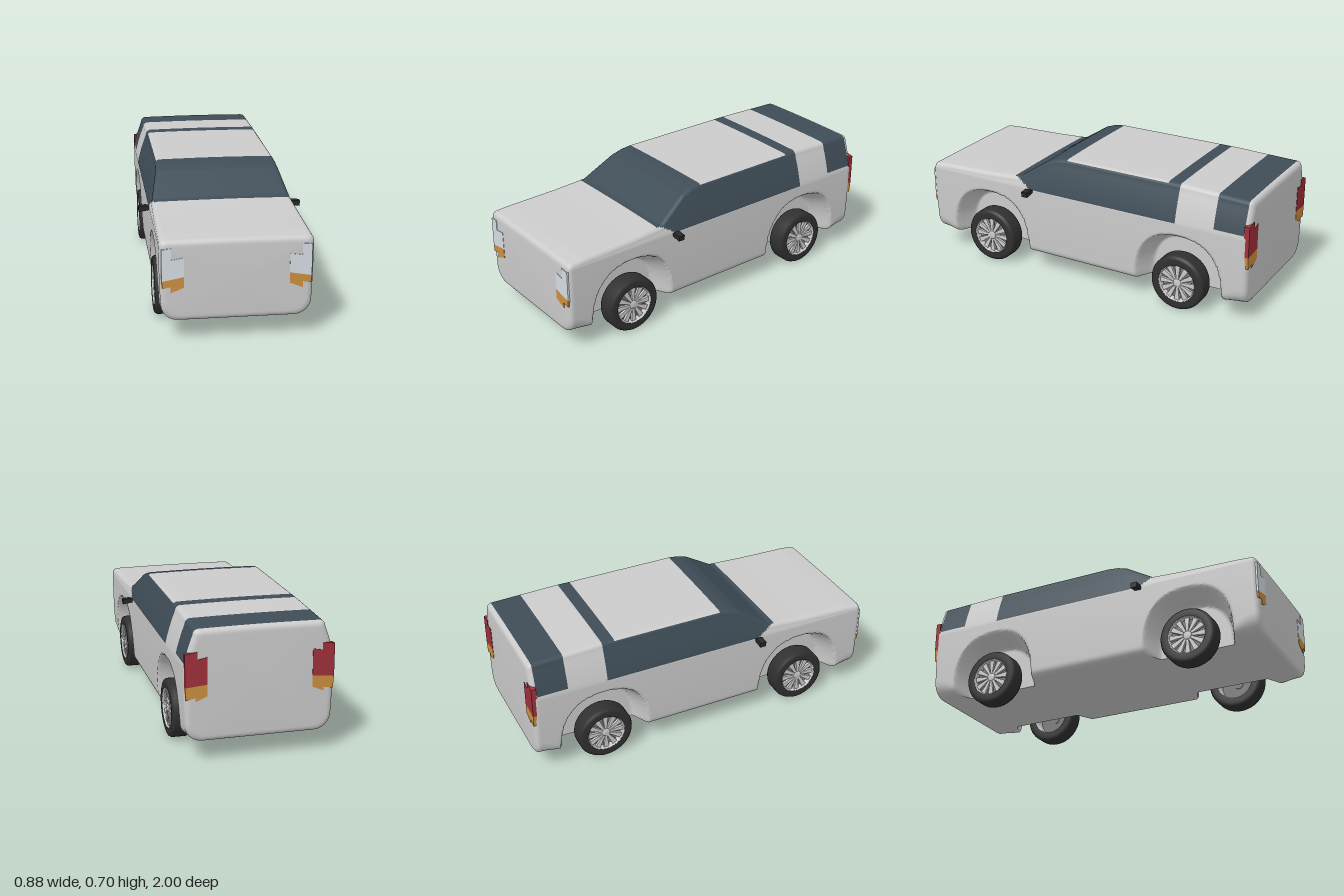
import * as THREE from 'three';

const paint = (color) => new THREE.MeshStandardMaterial({ color });
const GREY = paint(0xcccccc), GLASS = paint(0x3f4d57), RUBBER = paint(0x303030), BLACK = paint(0x26282a);
const LENS = paint(0xd6dde3), AMBER = paint(0xcc9040), RED = paint(0xa0303a), SPOKE = paint(0xe2e2e2);
const { clamp, lerp, smoothstep } = THREE.MathUtils;

// Height of the hood, windscreen and roof along z
const TOPLINE = [[-0.97, 0.688], [-0.6, 0.7], [0.11, 0.7], [0.17, 0.692], [0.23, 0.67], [0.4, 0.558], [0.6, 0.545], [0.9, 0.536], [0.97, 0.53]];
function topAt(z) {
  z = clamp(z, -0.97, 0.97);
  const i = Math.max(1, TOPLINE.findIndex((p) => p[0] >= z));
  const [a, b] = [TOPLINE[i - 1], TOPLINE[i]];
  return lerp(a[1], b[1], (z - a[0]) / (b[0] - a[0]));
}

const FLOOR = 0.11, BELT = 0.5, END = 0.97, ROUND = 0.03;
const N = { floor: 10, sill: 6, side: 32, window: 10, edge: 6, roof: 6 };
const BELT_ROW = N.floor + N.sill + N.side;
const PANEL_ROW = BELT_ROW + N.window + N.edge / 2;

// Right half of a cross-section, from the floor centre to the roof centre
function halfSection(z) {
  const top = topAt(z), pts = [];
  const r = 0.04 + 0.045 * smoothstep(Math.abs(z), 0.82, 0.97), e = 0.028;
  const sideX = (y) => 0.385 - 0.1 * (0.45 - Math.min(y, 0.45)) ** 2;
  const low = sideX(FLOOR + r);
  for (let i = 0; i < N.floor; i++) pts.push([(low - r) * i / N.floor, FLOOR]);
  for (let i = 0; i < N.sill; i++) {
    const a = i / N.sill * Math.PI / 2;
    pts.push([low - r + r * Math.sin(a), FLOOR + r - r * Math.cos(a)]);
  }
  for (let i = 0; i < N.side; i++) {
    const y = lerp(FLOOR + r, BELT, i / N.side);
    pts.push([sideX(y), y]);
  }
  const taper = 0.052 * clamp((top - 0.53) / 0.17, 0, 1);
  for (let i = 0; i < N.window; i++) {
    const t = i / N.window;
    pts.push([0.385 - taper * t * (0.7 + 0.3 * t), lerp(BELT, top - e, t)]);
  }
  const edge = 0.385 - taper;
  for (let i = 0; i < N.edge; i++) {
    const a = i / N.edge * Math.PI / 2;
    pts.push([edge - e + e * Math.cos(a), top - e + e * Math.sin(a)]);
  }
  for (let i = 0; i <= N.roof; i++) pts.push([(edge - e) * (1 - i / N.roof), top + 0.003 * Math.sin(i / N.roof * Math.PI / 2)]);
  return pts;
}

// Wheel arches: pull the side inward inside a rounded outline over each wheel
function archX(x, y, z) {
  const dz = Math.abs(Math.abs(z) - 0.6) / 0.255, dy = Math.max(0, y - 0.12) / 0.31;
  const q = (dz ** 2.5 + dy ** 2.5) ** 0.4;
  return lerp(x, Math.min(x, 0.25), clamp((1 - q) / 0.18, 0, 1));
}

function isGlass(row, y, z) {
  if (row < BELT_ROW) return false;
  if (z > -0.97 && z < -0.8) return y > 0.52;
  if (z < -0.58 || z > 0.43) return false;
  if (row >= PANEL_ROW && z > -0.51 && z < 0.11) return false;
  return y > BELT + 0.052 * clamp((z - 0.32) / 0.08, 0, 1);
}

function buildShell() {
  // Stations: straight run, rounded ends, then caps shrinking to a point
  const stations = [];
  for (let k = 0; k <= 194; k++) stations.push({ z: -END + k * 0.01, d: 0, s: 1 });
  for (const dir of [-1, 1]) {
    const end = [];
    for (let k = 1; k <= 6; k++) {
      const a = k / 6 * Math.PI / 2;
      end.push({ z: dir * (END + (ROUND - 0.004) * Math.sin(a)), d: ROUND * (1 - Math.cos(a)), s: 1 });
    }
    for (const s of [0.97, 0.7, 0.35, 0]) end.push({ z: dir * (0.996 + 0.004 * (1 - s * s)), d: ROUND, s });
    if (dir < 0) stations.unshift(...end.reverse());
    else stations.push(...end);
  }
  const pos = [];
  let n = 0;
  for (const { z, d, s } of stations) {
    const half = halfSection(z), top = topAt(z), mid = (top + FLOOR) / 2, h = (top - FLOOR) / 2;
    const ring = half.map(([x, y]) => [archX(x, y, z) * (1 - d / 0.385) * s, mid + (y - mid) * (1 - d / h) * s]);
    const full = [...ring, ...ring.slice(1, -1).reverse().map(([x, y]) => [-x, y])];
    n = full.length;
    for (const [x, y] of full) pos.push(x, y, z);
  }
  const body = [], glass = [];
  for (let c = 0; c < stations.length - 1; c++) {
    for (let i = 0; i < n; i++) {
      const a = c * n + i, b = c * n + (i + 1) % n, d = a + n, e = b + n;
      const y = (pos[a * 3 + 1] + pos[b * 3 + 1]) / 2, z = (stations[c].z + stations[c + 1].z) / 2;
      (isGlass(Math.min(i, n - 1 - i), y, z) ? glass : body).push(a, b, d, b, e, d);
    }
  }
  const whole = new THREE.BufferGeometry();
  whole.setAttribute('position', new THREE.Float32BufferAttribute(pos, 3));
  whole.setIndex([...body, ...glass]);
  whole.computeVertexNormals();
  const part = (index, material, name) => {
    const g = new THREE.BufferGeometry();
    g.setAttribute('position', whole.attributes.position);
    g.setAttribute('normal', whole.attributes.normal);
    g.setIndex(index);
    return named(new THREE.Mesh(g, material), name);
  };
  return [part(body, GREY, 'body'), part(glass, GLASS, 'windows')];
}

function named(object, name) {
  object.name = name;
  return object;
}

// Flat outline given depth; mirrored for the other side by sign
function plate(points, side, z, depth, material, name) {
  const shape = new THREE.Shape(points.map(([x, y]) => new THREE.Vector2(side * x, y)));
  const mesh = new THREE.Mesh(new THREE.ExtrudeGeometry(shape, { depth, bevelEnabled: false }), material);
  mesh.position.z = z;
  return named(mesh, name);
}

// Wheel with its axle along x and its outer face toward +x
function buildWheel() {
  const wheel = new THREE.Group();
  const lathe = (pts, material, name) => {
    const g = new THREE.LatheGeometry(pts.map(([r, y]) => new THREE.Vector2(r, y)), 48);
    g.rotateZ(-Math.PI / 2);
    wheel.add(named(new THREE.Mesh(g, material), name));
  };
  lathe([[0.106, -0.05], [0.135, -0.052], [0.149, -0.047], [0.155, -0.035], [0.155, 0.035], [0.149, 0.047], [0.135, 0.052], [0.106, 0.05]], RUBBER, 'tyre');
  const rim = GREY.clone();
  rim.side = THREE.DoubleSide;
  lathe([[0.108, -0.05], [0.1, -0.045], [0.098, 0.04], [0.108, 0.051]], rim, 'rim');
  const back = paint(0x777777);
  back.side = THREE.DoubleSide;
  lathe([[0.0001, 0.02], [0.099, 0.02]], back, 'wheelDisc');
  lathe([[0.024, 0.015], [0.024, 0.042], [0.018, 0.047], [0.0001, 0.047]], SPOKE, 'hub');
  for (let i = 0; i < 12; i++) {
    const g = new THREE.BoxGeometry(0.014, 0.084, 0.024);
    g.translate(0.035, 0.06, 0);
    const p = g.attributes.position;
    for (let k = 0; k < p.count; k++) p.setZ(k, p.getZ(k) * (p.getY(k) > 0.06 ? 1.25 : 0.45));
    g.rotateX(i / 12 * Math.PI * 2);
    g.computeVertexNormals();
    wheel.add(named(new THREE.Mesh(g, SPOKE), 'spoke'));
  }
  return wheel;
}

export function createModel() {
  const model = new THREE.Group();
  model.add(...buildShell());

  const headlamp = [[0.263, 0.345], [0.374, 0.325], [0.374, 0.49], [0.325, 0.495], [0.325, 0.435], [0.263, 0.445]];
  const indicator = [[0.263, 0.29], [0.33, 0.263], [0.33, 0.295], [0.37, 0.287], [0.374, 0.325], [0.263, 0.345]];
  const tailLamp = [[0.27, 0.41], [0.383, 0.4], [0.383, 0.57], [0.32, 0.58], [0.32, 0.54], [0.27, 0.55]];
  const rearIndicator = [[0.27, 0.35], [0.33, 0.325], [0.33, 0.345], [0.378, 0.335], [0.383, 0.4], [0.27, 0.41]];
  const mirror = [[0.375, 0.485], [0.4, 0.48], [0.44, 0.474], [0.442, 0.503], [0.4, 0.506], [0.375, 0.498]];
  for (const side of [1, -1]) {
    const tag = side > 0 ? 'left' : 'right';
    // Lamps
    model.add(plate(headlamp, side, 0.976, 0.0235, LENS, tag + 'Headlamp'));
    model.add(plate(indicator, side, 0.976, 0.0235, AMBER, tag + 'FrontIndicator'));
    model.add(plate(tailLamp, side, -0.9995, 0.028, RED, tag + 'TailLamp'));
    model.add(plate(rearIndicator, side, -0.9995, 0.028, AMBER, tag + 'RearIndicator'));
    // Door mirrors
    model.add(plate(mirror, side, 0.305, 0.036, BLACK, tag + 'Mirror'));
    // Wheels
    for (const z of [0.6, -0.6]) {
      const wheel = named(buildWheel(), tag + (z > 0 ? 'FrontWheel' : 'RearWheel'));
      wheel.position.set(side * 0.337, 0.155, z);
      if (side < 0) wheel.rotation.y = Math.PI;
      model.add(wheel);
    }
  }
  return model;
}
